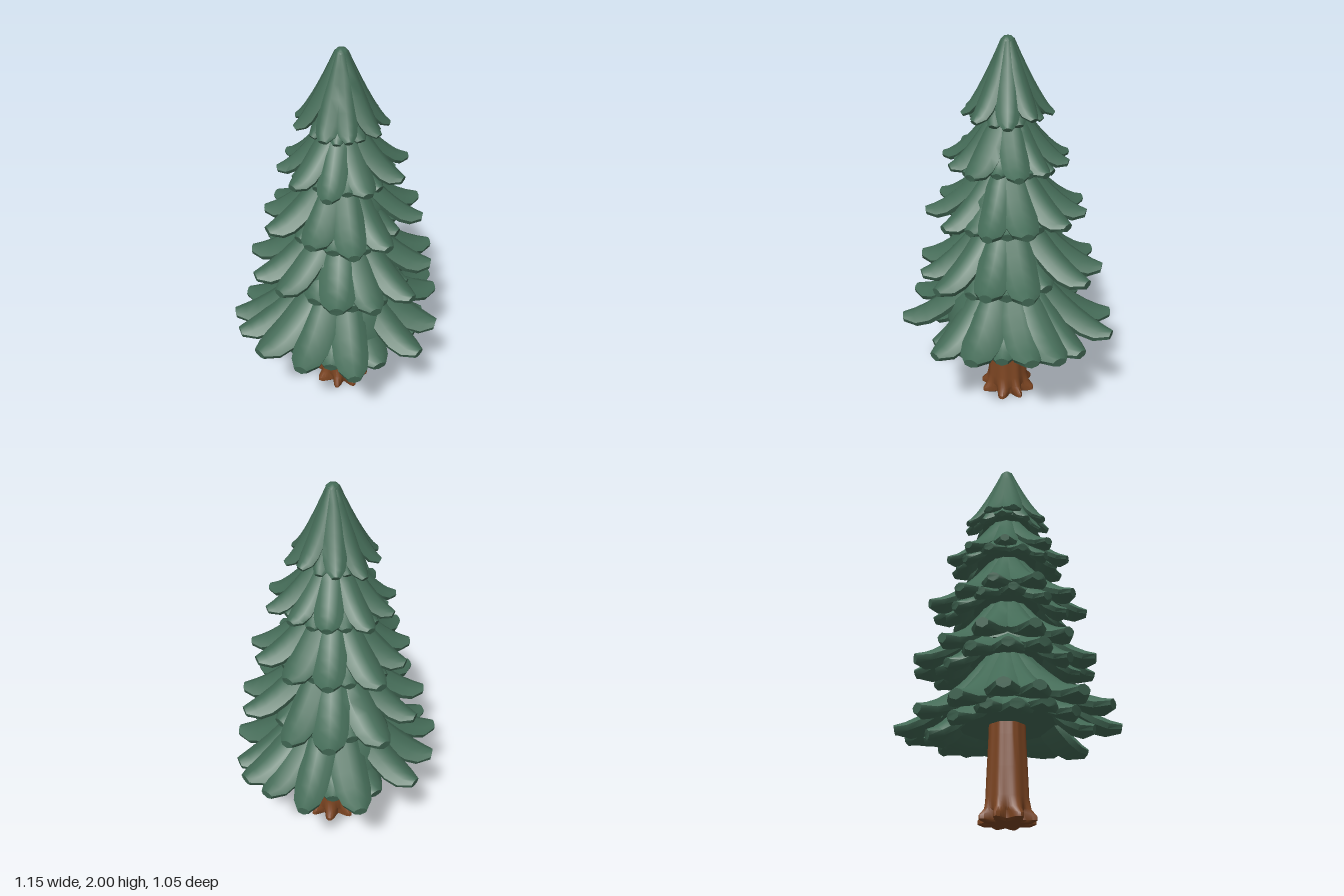
import * as THREE from 'three';
import { mergeGeometries, toCreasedNormals } from 'three/addons/utils/BufferGeometryUtils.js';

const needles = new THREE.MeshStandardMaterial({ color: 0x446b57 });
needles.name = 'needle green';
const bark = new THREE.MeshStandardMaterial({ color: 0x7c4522 });
bark.name = 'bark brown';

// Small seeded generator, -1..1
let seed = 11;
const jitter = () => {
  seed = (seed * 16807) % 2147483647;
  return (seed / 2147483647) * 2 - 1;
};

// Skin rings of equal length, closing the last one with a fan
function loft(rings) {
  const n = rings[0].length, idx = [];
  for (let i = 0; i < rings.length - 1; i++) {
    for (let k = 0; k < n; k++) {
      const a = i * n + k, b = i * n + ((k + 1) % n);
      idx.push(a, b, a + n, b, b + n, a + n);
    }
  }
  const last = (rings.length - 1) * n;
  for (let k = 1; k < n - 1; k++) idx.push(last, last + k, last + k + 1);
  const g = new THREE.BufferGeometry();
  g.setAttribute('position', new THREE.Float32BufferAttribute(rings.flat(2), 3));
  g.setIndex(idx);
  return g;
}

// Branch cross-section: [sideways, droop, underside]
const section = [[-1, 1, 0], [-0.6, 0.35, 0], [0, 0, 0], [0.6, 0.35, 0], [1, 1, 0],
  [0.88, 1, 0.5], [0, 0.6, 1], [-0.88, 1, 0.5]];
const steps = [0, 0.15, 0.3, 0.45, 0.6, 0.75, 0.88, 1];
const taper = [1, 1, 1, 1, 1, 0.97, 0.8, 0.36];
const depth = [0.6, 0.75, 0.9, 1, 1, 1, 0.95, 0.75];

// Concave sweep that keeps a slight fall at the tip
const heightAt = (o, t) => o.tip + (o.top - o.tip) * (0.14 * (1 - t) + 0.86 * Math.pow(1 - t, o.pow));

// One drooping branch that sweeps outwards from the trunk
function branch(o) {
  const c = Math.cos(o.angle), s = Math.sin(o.angle);
  return loft(steps.map((t, i) => {
    const r = o.r0 + (o.r - o.r0) * t, y = heightAt(o, t);
    const w = Math.min((Math.PI * r / o.n) * 1.55, o.width) * taper[i];
    // Lean of the underside, square to the sweep
    const t0 = Math.max(t - 0.02, 0), t1 = Math.min(t + 0.02, 1);
    const slope = (heightAt(o, t0) - heightAt(o, t1)) / ((t1 - t0) * (o.r - o.r0));
    const len = Math.hypot(1, slope);
    return section.map(([u, d, b]) => {
      const drop = d * w * 0.55 + b * o.thick * depth[i];
      const rr = r - drop * slope / len;
      return [c * rr - s * u * w, y - drop / len, s * rr + c * u * w];
    });
  }));
}

// Lowest branches: direction in degrees and reach
const lowest = [[-169, 0.58], [-153, 0.58], [-130, 0.55], [-104, 0.54], [-65, 0.56], [-36, 0.595],
  [-13, 0.56], [2, 0.575], [16, 0.545], [49, 0.53], [73, 0.535], [116, 0.57], [144, 0.57], [169, 0.585]];

const tiers = [
  { name: 'lowestBranches', n: 14, r0: 0.1, r: 0.57, top: 0.88, tip: 0.495, lift: 0.075, pow: 1.72, width: 0.096, thick: 0.055, under: 0.03, inner: 0.75 },
  { name: 'lowerBranches', n: 12, r0: 0.09, r: 0.48, top: 1.17, tip: 0.84, lift: 0.05, pow: 1.75, width: 0.09, thick: 0.055, under: 0.035, inner: 0.78 },
  { name: 'middleBranches', n: 11, r0: 0.08, r: 0.405, top: 1.43, tip: 1.13, lift: 0.04, pow: 1.7, width: 0.08, thick: 0.048, under: 0.022, inner: 0.8 },
  { name: 'upperBranches', n: 10, r0: 0.07, r: 0.325, top: 1.67, tip: 1.405, lift: 0.025, pow: 1.55, width: 0.07, thick: 0.04, under: 0.018, inner: 0.82 },
  { name: 'crownBranches', n: 9, r0: 0.032, r: 0.235, top: 1.99, tip: 1.63, lift: 0.02, pow: 1.33, width: 0.058, thick: 0.03, under: 0.012, inner: 0.85 },
];

function buildTier(tier, index) {
  const step = (Math.PI * 2) / tier.n;
  const spread = index === 0
    ? lowest.map(([a, r]) => [a * Math.PI / 180, r])
    : Array.from({ length: tier.n }, (_, i) =>
      [Math.PI / 2 + step * (i + index * 0.37 + jitter() * 0.2), tier.r * (1 + jitter() * 0.05)]);

  const parts = [];
  const addBranch = (angle, r, under) => parts.push(branch({
    ...tier, angle, r,
    // Side branches ride higher
    tip: tier.tip + tier.lift * (Math.abs(Math.cos(angle)) - 0.5) + jitter() * 0.015 - under,
    top: tier.top - under,
    width: tier.width * (1 + jitter() * 0.1),
  }));
  spread.forEach(([angle, r], i) => {
    addBranch(angle, r, 0);
    // A shorter, lower branch fills each gap
    const next = i + 1 < tier.n ? spread[i + 1][0] : spread[0][0] + Math.PI * 2;
    addBranch((angle + next) / 2, tier.r * tier.inner * (1 + jitter() * 0.04), tier.under);
  });
  const boughs = toCreasedNormals(mergeGeometries(parts), 0.9);

  // Solid heart of the tier, closed underneath
  const pts = index === 4 ? [[0, 2], [0.02, 1.999], [0.034, 1.985]] : [[0, tier.top]];
  for (const t of [0.04, 0.15, 0.3, 0.42]) {
    pts.push([tier.r0 + (tier.r - tier.r0) * t, heightAt(tier, t) - 0.04]);
  }
  const bottom = tier.tip - 0.01;
  pts.push([tier.r * 0.58, bottom + 0.02], [tier.r * 0.35, bottom], [0, bottom]);
  const heart = toCreasedNormals(new THREE.LatheGeometry(
    pts.reverse().map(([x, y]) => new THREE.Vector2(x, y)), 28), 0.9);

  const group = new THREE.Group();
  group.name = tier.name;
  for (const [name, geo] of [['boughs', boughs], ['heart', heart]]) {
    const mesh = new THREE.Mesh(geo, needles);
    mesh.name = name;
    group.add(mesh);
  }
  return group;
}

// Trunk with shallow flutes that spread into stubby roots
function buildTrunk() {
  const profile = [[0, 0.005], [0.1, 0], [0.122, 0.012], [0.122, 0.04], [0.112, 0.065],
    [0.106, 0.12], [0.101, 0.26], [0.094, 0.42], [0.09, 0.6]];
  const geo = new THREE.LatheGeometry(profile.map(([x, y]) => new THREE.Vector2(x, y)), 64);
  const p = geo.attributes.position;
  for (let i = 0; i < p.count; i++) {
    const x = p.getX(i), y = p.getY(i), z = p.getZ(i);
    const a = Math.atan2(z, x);
    const lobe = Math.cos(8 * a + 0.5 * Math.sin(3 * a));
    const k = 1 + lobe * (y < 0.05 ? 0.24 : y < 0.1 ? 0.08 : 0.03);
    p.setXYZ(i, x * k, y < 0.05 && y > 0.03 ? y - lobe * 0.01 : y, z * k);
  }
  const mesh = new THREE.Mesh(toCreasedNormals(geo, 0.7), bark);
  mesh.name = 'trunk';
  return mesh;
}

export function createModel() {
  const tree = new THREE.Group();
  tree.name = 'pineTree';
  tree.add(buildTrunk());
  tiers.forEach((tier, i) => tree.add(buildTier(tier, i)));
  return tree;
}
